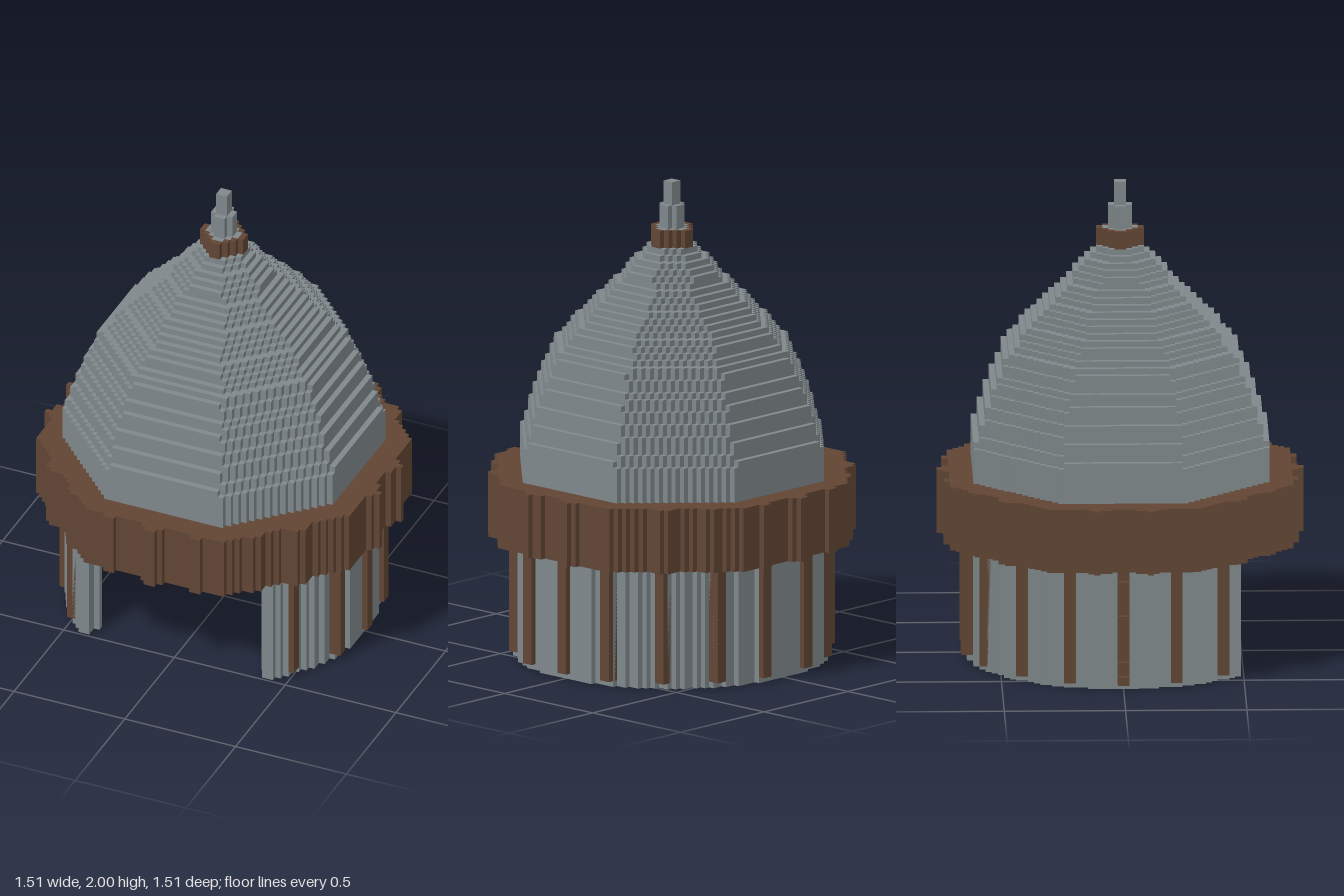
import * as THREE from 'three';

const V = 2 / 82; // edge length of one cell

// Stack of horizontal levels [y0, y1, inside(x, z)] in cell units -> blocky mesh with hidden faces removed
function blocks(name, material, levels) {
  const pos = [];
  const quad = (a, b, c, d) => [a, b, c, a, c, d].forEach(p => pos.push(p[0] * V, p[1] * V, p[2] * V));
  levels.forEach(([y0, y1, inside], n) => {
    const has = (i, k) => inside(i + 0.5, k + 0.5);
    const next = (m, y, edge, i, k) => levels[m] && levels[m][edge] === y && levels[m][2](i + 0.5, k + 0.5);
    for (let i = -33; i < 33; i++) for (let k = -33; k < 33; k++) {
      if (!has(i, k)) continue;
      const I = i + 1, K = k + 1;
      if (!has(I, k)) quad([I, y0, K], [I, y0, k], [I, y1, k], [I, y1, K]);
      if (!has(i - 1, k)) quad([i, y0, k], [i, y0, K], [i, y1, K], [i, y1, k]);
      if (!has(i, K)) quad([i, y0, K], [I, y0, K], [I, y1, K], [i, y1, K]);
      if (!has(i, k - 1)) quad([I, y0, k], [i, y0, k], [i, y1, k], [I, y1, k]);
      if (!next(n + 1, y1, 0, i, k)) quad([i, y1, K], [I, y1, K], [I, y1, k], [i, y1, k]);
      if (!next(n - 1, y0, 1, i, k)) quad([i, y0, k], [I, y0, k], [I, y0, K], [i, y0, K]);
    }
  });
  const geometry = new THREE.BufferGeometry();
  geometry.setAttribute('position', new THREE.Float32BufferAttribute(pos, 3));
  geometry.computeVertexNormals();
  const mesh = new THREE.Mesh(geometry, material);
  mesh.name = name;
  return mesh;
}

// Distance measures in plan
const octagon = (x, z) => Math.max(Math.abs(x), Math.abs(z), (Math.abs(x) + Math.abs(z)) / Math.SQRT2);
const diamond = (x, z) => Math.abs(x) + Math.abs(z);
const rad = THREE.MathUtils.degToRad;

// Roof profile: [height, apothem] in cells
const PROFILE = [[32, 25], [38, 24.5], [42, 23.4], [45, 22.4], [48, 21.4], [50, 20.4], [53, 19.3], [54, 18.3], [70, 4], [71, 4]];
function roofSize(y) {
  if (y < 38) return 25;
  const n = PROFILE.findIndex(p => p[0] > y);
  const [y0, a0] = PROFILE[n - 1], [y1, a1] = PROFILE[n];
  return a0 + (a1 - a0) * (y - y0) / (y1 - y0);
}

export function createModel() {
  const slate = new THREE.MeshStandardMaterial({ color: 0x7f888b });
  slate.name = 'slate grey';
  const wood = new THREE.MeshStandardMaterial({ color: 0x614534 });
  wood.name = 'brown wood';
  const model = new THREE.Group();
  model.name = 'roundHut';

  // Round wall, open 40 degrees either side of the front
  const opening = rad(40);
  model.add(blocks('wall', slate, [[0, 21, (x, z) => {
    const r = Math.hypot(x, z);
    return r > 23 && r < 26.3 && Math.abs(Math.atan2(x, z)) > opening;
  }]]));

  // Posts every 20 degrees around the wall
  const posts = new THREE.Group();
  posts.name = 'posts';
  for (let deg = -220; deg <= 40; deg += 20) {
    const cx = Math.round(26.3 * Math.cos(rad(deg))), cz = Math.round(26.3 * Math.sin(rad(deg)));
    const post = new THREE.Mesh(new THREE.BoxGeometry(2 * V, 20 * V, 2 * V), wood);
    post.name = 'post';
    post.position.set(cx * V, 11 * V, cz * V);
    posts.add(post);
  }
  model.add(posts);

  // Notched strip on one side post
  const strip = new THREE.Group();
  strip.name = 'sideStrip';
  for (const [y0, y1] of [[1, 2.5], [3.5, 5], [6, 13], [14, 19], [20, 21]]) {
    const piece = new THREE.Mesh(new THREE.BoxGeometry(V, (y1 - y0) * V, 2 * V), wood);
    piece.name = 'stripPiece';
    piece.position.set(-27.5 * V, (y0 + y1) / 2 * V, 0);
    strip.add(piece);
  }
  model.add(strip);

  // Eaves band: octagon with 22 rounded staves on its rim
  const staves = Array.from({ length: 22 }, (_, n) => {
    const a = Math.PI / 2 + n * Math.PI * 2 / 22;
    return [29 * Math.cos(a), 29 * Math.sin(a)];
  });
  model.add(blocks('eavesBand', wood, [[21, 32, (x, z) => Math.hypot(x, z) > 23.5 &&
    (octagon(x, z) <= 29 || staves.some(([sx, sz]) => Math.hypot(x - sx, z - sz) < 1.845))]]));

  // Hollow stepped octagonal roof
  const roof = [];
  for (let y = 32; y < 71; y++) {
    const a = roofSize(y);
    roof.push([y, y + 1, (x, z) => octagon(x, z) <= a && octagon(x, z) > a - 3]);
  }
  model.add(blocks('roof', slate, roof));

  // Wooden collar with four small drops
  model.add(blocks('collar', wood, [
    [70, 71, (x, z) => diamond(x, z) === 4 && Math.max(Math.abs(x), Math.abs(z)) > 3],
    [71, 74, (x, z) => diamond(x, z) === 4],
  ]));

  // Finial
  model.add(blocks('finial', slate, [
    [70, 74, (x, z) => diamond(x, z) <= 3],
    [74, 78, (x, z) => diamond(x, z) <= 2],
    [78, 82, (x, z) => diamond(x, z) <= 1],
  ]));
  return model;
}
